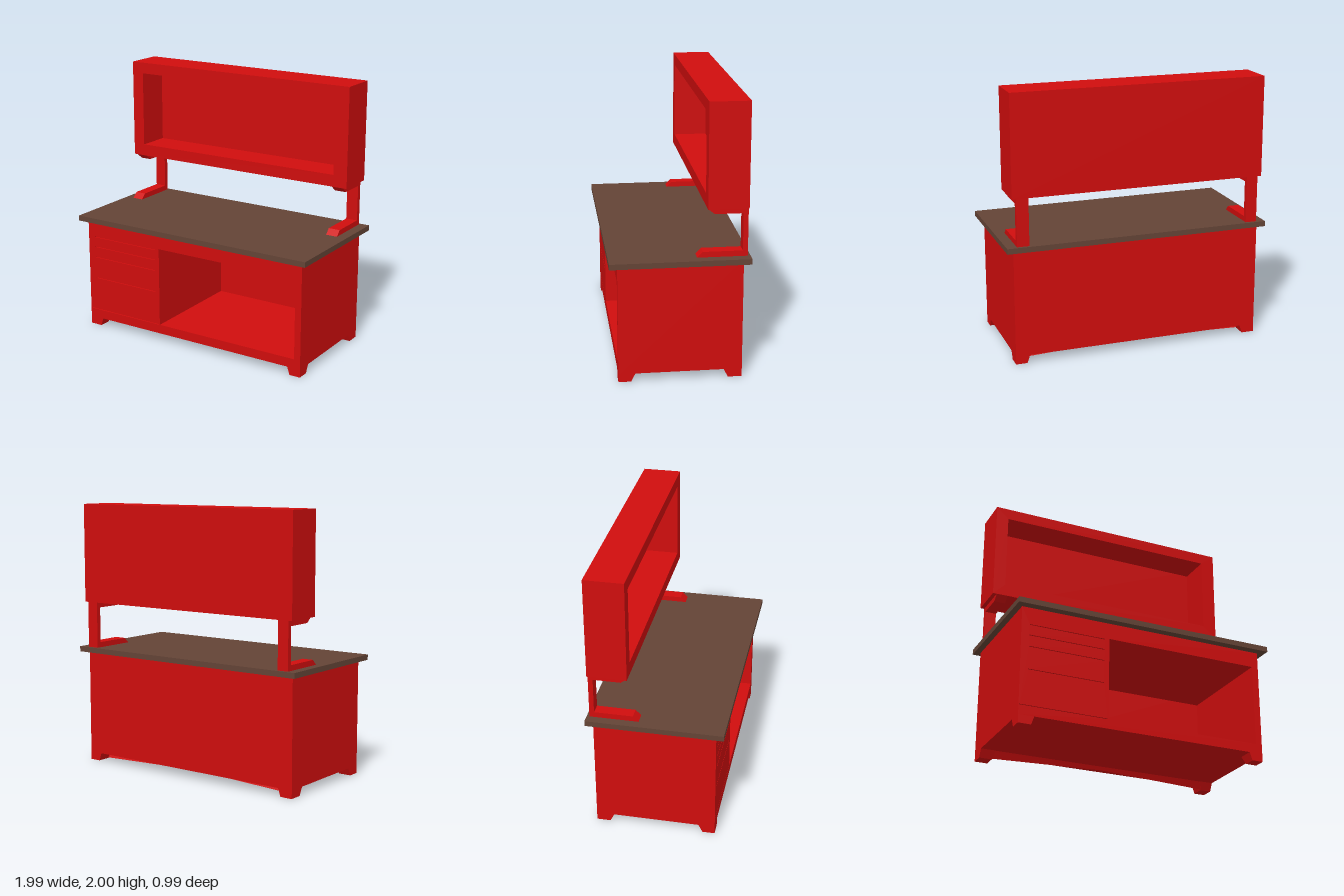
import * as THREE from 'three';

const red = new THREE.MeshStandardMaterial({ color: 0xd00d0d });
const redThin = new THREE.MeshStandardMaterial({ color: 0xd00d0d, side: THREE.DoubleSide });
const brown = new THREE.MeshStandardMaterial({ color: 0x644436 });

const rectPoints = (x0, x1, y0, y1) =>
  [[x0, y0], [x1, y0], [x1, y1], [x0, y1]].map(p => new THREE.Vector2(...p));

// Rectangular plate with rectangular holes, spanning z0..z1
function plate(outer, holes, z0, z1) {
  const shape = new THREE.Shape(rectPoints(...outer));
  for (const h of holes) shape.holes.push(new THREE.Path(rectPoints(...h).reverse()));
  return new THREE.ExtrudeGeometry(shape, { depth: z1 - z0, bevelEnabled: false }).translate(0, 0, z0);
}

function block(x0, x1, y0, y1, z0, z1) {
  return new THREE.BoxGeometry(x1 - x0, y1 - y0, z1 - z0)
    .translate((x0 + x1) / 2, (y0 + y1) / 2, (z0 + z1) / 2);
}

// Corner foot: its two inner sides slope inwards towards the ground
function foot(sx, sz) {
  const outerX = sx > 0 ? 0.94 : -0.95;
  const outerZ = sz > 0 ? 0.435 : -0.445;
  const g = new THREE.BoxGeometry(1, 1, 1).toNonIndexed();
  const p = g.attributes.position;
  for (let i = 0; i < p.count; i++) {
    const low = p.getY(i) < 0;
    const x = p.getX(i) * sx > 0 ? outerX : sx * (low ? 0.855 : 0.835);
    const z = p.getZ(i) * sz > 0 ? outerZ : sz * (low ? 0.345 : 0.315);
    p.setXYZ(i, x, low ? 0 : 0.06, z);
  }
  g.computeVertexNormals();
  return g;
}

// C-shaped bracket profile (z, y), extruded along x
function bracket(x0, x1) {
  const profile = [[-0.12, 0.9], [-0.16, 0.94], [-0.44, 0.94], [-0.44, 1.21],
    [-0.24, 1.21], [-0.19, 1.25], [-0.475, 1.25], [-0.475, 0.9]];
  const shape = new THREE.Shape(profile.map(p => new THREE.Vector2(...p)));
  return new THREE.ExtrudeGeometry(shape, { depth: x1 - x0, bevelEnabled: false })
    .rotateY(-Math.PI / 2).translate(x1, 0, 0);
}

// Sloped strip between the rear feet with a shallow V lower edge
function rearSkirt() {
  const g = new THREE.BufferGeometry();
  g.setAttribute('position', new THREE.Float32BufferAttribute([
    -0.855, 0.005, -0.345, -0.835, 0.06, -0.32, 0.835, 0.06, -0.32,
    0.855, 0.005, -0.345, 0, 0.035, -0.332], 3));
  g.setIndex([1, 0, 4, 1, 4, 2, 4, 3, 2]);
  g.computeVertexNormals();
  return g;
}

export function createModel() {
  const model = new THREE.Group();
  const add = (name, geometry, material = red, parent = model) => {
    const mesh = new THREE.Mesh(geometry, material);
    mesh.name = name;
    parent.add(mesh);
  };

  // Cabinet with open bay on the right and drawers on the left of the front
  const cabinet = new THREE.Group();
  cabinet.name = 'cabinet';
  model.add(cabinet);
  const outer = [-0.95, 0.94, 0.06, 0.86];
  const bay = [-0.285, 0.89, 0.13, 0.74];
  const slits = [0.73, 0.65, 0.565, 0.395].map(y => [-0.89, -0.32, y - 0.004, y + 0.004]);
  slits.push([-0.945, -0.295, 0.129, 0.134]);
  add('cabinetShell', plate(outer, [bay], -0.425, 0.425), red, cabinet);
  add('drawerFront', plate(outer, [bay, ...slits], 0.425, 0.435), red, cabinet);
  add('cabinetBack', block(...outer, -0.445, -0.425), red, cabinet);
  for (const sx of [-1, 1]) {
    for (const sz of [-1, 1]) {
      add(`${sz > 0 ? 'front' : 'rear'}${sx > 0 ? 'Left' : 'Right'}Foot`, foot(sx, sz), red, cabinet);
    }
  }
  add('rearSkirt', rearSkirt(), redThin, cabinet);

  // Worktop
  add('worktop', block(-0.995, 0.995, 0.86, 0.9, -0.495, 0.495), brown);

  // Brackets carrying the upper case
  add('rightBracket', bracket(-0.93, -0.845));
  add('leftBracket', bracket(0.83, 0.92));

  // Upper case, open to the front
  const upper = [-0.96, 0.95, 1.25, 2];
  add('upperCaseFrame', plate(upper, [[-0.865, 0.84, 1.34, 1.915]], -0.445, -0.19));
  add('upperCaseBack', block(...upper, -0.475, -0.445));

  return model;
}
